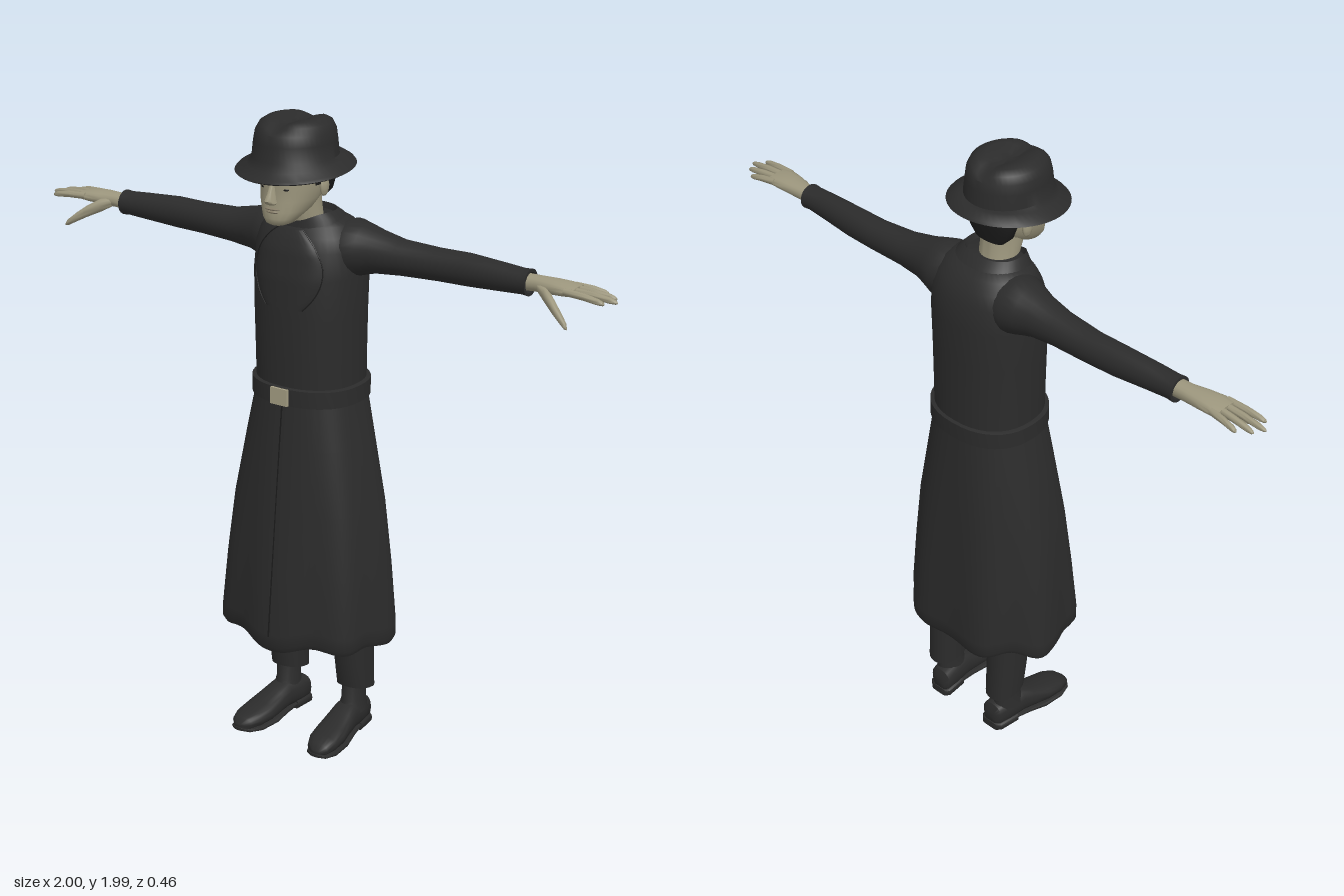
import * as THREE from 'three';
import { toCreasedNormals } from 'three/addons/utils/BufferGeometryUtils.js';
import { ParametricGeometry } from 'three/addons/geometries/ParametricGeometry.js';

const mat = (name, color, side = THREE.FrontSide) => {
  const m = new THREE.MeshStandardMaterial({ color, side });
  m.name = name;
  return m;
};

// Superellipse point: [a, b] on the unit curve of exponent n
const curve = (t, n) => [Math.cos(t), Math.sin(t)].map((c) => Math.sign(c) * Math.abs(c) ** (2 / n));

// Skin a list of point rings; caps are optional
function skin(rings, capStart = true, capEnd = true) {
  const n = rings[0].length, pos = [], idx = [];
  rings.forEach((r) => r.forEach((p) => pos.push(...p)));
  for (let i = 0; i < rings.length - 1; i++) {
    for (let j = 0; j < n; j++) {
      const a = i * n + j, b = i * n + (j + 1) % n;
      idx.push(a, b, a + n, b, b + n, a + n);
    }
  }
  const cap = (i, flip) => {
    const c = pos.length / 3;
    pos.push(...[0, 1, 2].map((k) => rings[i].reduce((s, p) => s + p[k], 0) / n));
    for (let j = 0; j < n; j++) {
      const a = i * n + j, b = i * n + (j + 1) % n;
      idx.push(...(flip ? [c, b, a] : [c, a, b]));
    }
  };
  if (capStart) cap(0, true);
  if (capEnd) cap(rings.length - 1, false);
  const g = new THREE.BufferGeometry();
  g.setAttribute('position', new THREE.Float32BufferAttribute(pos, 3));
  g.setIndex(idx);
  g.computeVertexNormals();
  return g;
}

// Ring with rows [y, rx, zFront, zBack], optional per-point warp(p, angle, row)
const ringY = (row, n = 2.3, seg = 40, cx = 0, warp = null) => Array.from({ length: seg }, (_, j) => {
  const t = j / seg * Math.PI * 2, [a, b] = curve(t, n), [y, rx, zf, zb] = row;
  const p = [cx + b * rx, y, (zf + zb) / 2 + a * (zf - zb) / 2];
  if (warp) warp(p, t, row);
  return p;
});
const loftY = (rows, o = {}) =>
  skin(rows.map((r) => ringY(r, o.n, o.seg, o.cx, o.warp)), o.capStart ?? true, o.capEnd ?? true);

// Rows [x, cy, cz, ry, rz] stacked along x
const loftX = (rows, seg = 16, n = 2, caps = true) => skin(rows.map(([x, cy, cz, ry, rz]) =>
  Array.from({ length: seg }, (_, j) => {
    const [a, b] = curve(j / seg * Math.PI * 2, n);
    return [x, cy + a * ry, cz + b * rz];
  })), caps, caps);

// Rows [z, cx, yBottom, yTop, rx] stacked along z
const loftZ = (rows, seg = 20, n = 2.6) => skin(rows.map(([z, cx, y0, y1, rx]) =>
  Array.from({ length: seg }, (_, j) => {
    const [a, b] = curve(j / seg * Math.PI * 2, n);
    return [cx + a * rx, (y0 + y1) / 2 + b * (y1 - y0) / 2, z];
  })));

function mirrored(g) {
  const m = g.clone().scale(-1, 1, 1), i = m.index.array;
  for (let k = 0; k < i.length; k += 3) [i[k], i[k + 1]] = [i[k + 1], i[k]];
  return m;
}

const TORSO = [
  [1.13, 0.163, 0.12, -0.177], [1.25, 0.165, 0.12, -0.175], [1.4, 0.168, 0.122, -0.175],
  [1.52, 0.172, 0.118, -0.175], [1.6, 0.168, 0.105, -0.168], [1.64, 0.155, 0.09, -0.15],
  [1.67, 0.135, 0.072, -0.125], [1.69, 0.1, 0.05, -0.095],
];
// Height of the coat front at (x, y)
function chestZ(x, y) {
  const i = Math.max(1, TORSO.findIndex((r) => r[0] >= y));
  const [p, q] = [TORSO[i - 1], TORSO[i]], k = (y - p[0]) / (q[0] - p[0]);
  const [, rx, zf, zb] = p.map((v, m) => v + (q[m] - v) * k);
  const f = Math.max(0, 1 - Math.abs(x / rx) ** 2.3) ** (1 / 2.3);
  return (zf + zb) / 2 + f * (zf - zb) / 2;
}

export function createModel() {
  const model = new THREE.Group();
  const coat = mat('coat charcoal', 0x2b2b2b, THREE.DoubleSide);
  const dark = mat('seam and hair black', 0x1b1b1b);
  const flesh = mat('skin', 0x9c967d);
  const lip = mat('lips', 0x857c68);
  const metal = mat('buckle', 0xa59e84);
  const add = (name, geo, m) => {
    const mesh = new THREE.Mesh(toCreasedNormals(geo, 0.9), m);
    mesh.name = name;
    model.add(mesh);
  };
  const pair = (name, geo, m) => {
    add(name + 'Left', geo, m);
    add(name + 'Right', mirrored(geo), m);
  };
  const ball = (x, y, z, rx, ry, rz) => new THREE.SphereGeometry(1, 16, 12).scale(rx, ry, rz).translate(x, y, z);

  // Coat: body, folded skirt, front seam
  add('coatBody', loftY(TORSO), coat);
  const folds = (p, t, [y]) => {
    const k = Math.min(1, (1.13 - y) / 0.72), f = 1 - 0.035 * k * (1 - Math.cos(7 * t));
    p[0] *= f;
    p[2] = -0.02 + (p[2] + 0.02) * f;
    if (y < 0.45) p[1] += 0.018 * Math.sin(3.5 * t) ** 2 - 0.008 * Math.cos(4 * t);
  };
  add('coatSkirt', loftY([
    [1.15, 0.165, 0.122, -0.178], [1.0, 0.198, 0.139, -0.19], [0.8, 0.24, 0.161, -0.207],
    [0.6, 0.266, 0.181, -0.222], [0.41, 0.283, 0.2, -0.238], [0.37, 0.284, 0.2, -0.238],
    [0.352, 0.274, 0.19, -0.228], [0.362, 0.262, 0.178, -0.216],
  ], { seg: 84, warp: folds, capStart: false, capEnd: false }).scale(1, 1, 1), coat);
  // the skirt is stacked downwards, so its faces are turned outward here
  const skirt = model.children.at(-1);
  skirt.geometry = toCreasedNormals(mirrored(Object.assign(skirt.geometry, {
    index: new THREE.BufferAttribute(Uint32Array.from({ length: skirt.geometry.attributes.position.count }, (_, i) => i), 1),
  })).scale(-1, 1, 1), 0.9);
  add('frontSeam', new THREE.BoxGeometry(0.004, 0.74, 0.004).rotateX(-0.104).translate(0, 0.765, 0.163), dark);

  // Lapels: raised panels with a thin stitched edge
  const lapelX = (v) => 0.118 * Math.sin(Math.PI * (0.12 + 0.82 * v)) ** 0.6;
  const lapelY = (v) => 1.43 + 0.23 * v;
  add('lapels', new ParametricGeometry((u, v, p) => {
    const s = 2 * u - 1, x = lapelX(v) * s, y = lapelY(v);
    p.set(x, y, chestZ(x, y) + 0.006 * (1 - s ** 8));
  }, 24, 16), coat);
  const edge = Array.from({ length: 13 }, (_, i) => {
    const v = i / 12, x = lapelX(v), y = lapelY(v);
    return new THREE.Vector3(x, y, chestZ(x, y) + 0.001);
  });
  pair('lapelEdge', new THREE.TubeGeometry(new THREE.CatmullRomCurve3(edge), 30, 0.002, 5), dark);

  // Collar, lower at the throat
  add('collar', loftY([[1.65, 0.13, 0.085, -0.13], [1.69, 0.108, 0.075, -0.1], [1.708, 0.092, 0.072, -0.075],
    [1.68, 0.082, 0.064, -0.066]], {
    capStart: false, capEnd: false,
    warp: (p, t) => { p[1] -= 0.025 * Math.max(0, Math.cos(t)) ** 4; },
  }), coat);

  // Belt and buckle
  add('belt', loftY([[1.13, 0.16, 0.115, -0.172], [1.132, 0.177, 0.13, -0.186], [1.184, 0.177, 0.13, -0.186],
    [1.188, 0.16, 0.115, -0.172]]), coat);
  add('buckle', new THREE.BoxGeometry(0.06, 0.052, 0.012).translate(-0.004, 1.158, 0.131), metal);

  // Sleeves
  pair('sleeve', loftX([
    [0.1, 1.59, -0.045, 0.085, 0.09], [0.14, 1.595, -0.048, 0.088, 0.092], [0.18, 1.597, -0.05, 0.076, 0.078],
    [0.22, 1.597, -0.052, 0.065, 0.064], [0.3, 1.592, -0.054, 0.053, 0.053], [0.42, 1.591, -0.06, 0.048, 0.046],
    [0.52, 1.593, -0.06, 0.048, 0.043], [0.64, 1.594, -0.054, 0.041, 0.039], [0.7, 1.594, -0.052, 0.037, 0.037],
    [0.722, 1.594, -0.052, 0.039, 0.039], [0.722, 1.594, -0.052, 0.03, 0.03], [0.69, 1.594, -0.052, 0.03, 0.03],
  ], 24, 2, false), coat);

  // Hands: palm, four fingers, thumb
  pair('palm', loftX([
    [0.68, 1.595, -0.05, 0.024, 0.027], [0.75, 1.597, -0.05, 0.022, 0.029], [0.8, 1.599, -0.047, 0.021, 0.038],
    [0.84, 1.6, -0.045, 0.018, 0.043], [0.875, 1.599, -0.045, 0.013, 0.043],
  ], 16, 2.4), flesh);
  [[-0.079, -0.092, 0.945], [-0.057, -0.066, 0.982], [-0.033, -0.036, 1.0], [-0.01, -0.004, 0.976]].forEach(([z0, z1, tip], i) => {
    const at = (k, r) => [0.85 + (tip - 0.85) * k, 1.602 - 0.012 * k * k, z0 + (z1 - z0) * k, r, r * 0.95];
    pair('finger' + (i + 1), loftX([at(0, 0.011), at(0.5, 0.0105), at(0.85, 0.009), at(0.96, 0.006), at(1, 0.002)], 10), flesh);
  });
  pair('thumb', loftX([
    [0.755, 1.595, -0.035, 0.014, 0.014], [0.79, 1.582, -0.015, 0.021, 0.018], [0.83, 1.56, 0.012, 0.018, 0.016],
    [0.86, 1.54, 0.028, 0.014, 0.013], [0.882, 1.524, 0.039, 0.01, 0.009], [0.89, 1.517, 0.043, 0.003, 0.003],
  ], 12), flesh);

  // Neck and head
  add('neck', loftY([[1.62, 0.062, 0.06, -0.06], [1.69, 0.058, 0.075, -0.045], [1.74, 0.058, 0.1, -0.04],
    [1.79, 0.06, 0.1, -0.04]], { n: 2 }), flesh);
  add('head', loftY([
    [1.688, 0.022, 0.16, 0.11], [1.694, 0.038, 0.17, 0.09], [1.71, 0.052, 0.175, 0.06], [1.73, 0.066, 0.171, 0.02],
    [1.76, 0.078, 0.17, -0.02], [1.79, 0.084, 0.166, -0.04], [1.815, 0.087, 0.17, -0.046], [1.88, 0.088, 0.16, -0.05],
  ]), flesh);
  add('nose', loftY([[1.751, 0.01, 0.18, 0.15], [1.757, 0.018, 0.193, 0.15], [1.766, 0.015, 0.2, 0.15],
    [1.79, 0.009, 0.186, 0.15], [1.815, 0.008, 0.173, 0.15]], { n: 2, seg: 14 }), flesh);
  add('upperLip', ball(0, 1.738, 0.168, 0.026, 0.004, 0.009), lip);
  add('lowerLip', ball(0, 1.73, 0.167, 0.022, 0.005, 0.009), lip);
  pair('eye', ball(0.034, 1.797, 0.153, 0.014, 0.006, 0.008), dark);
  pair('eyebrow', ball(0.036, 1.816, 0.159, 0.02, 0.004, 0.006), dark);
  pair('ear', ball(0.088, 1.792, 0.035, 0.01, 0.031, 0.02), flesh);

  // Hair behind the ears and sideburns
  add('hair', loftY([[1.745, 0.052, 0.0, -0.044], [1.77, 0.077, 0.014, -0.049], [1.81, 0.09, 0.024, -0.055],
    [1.88, 0.093, 0.06, -0.06]]), dark);
  pair('sideburn', new THREE.BoxGeometry(0.008, 0.06, 0.022).rotateY(-0.12).translate(0.085, 1.83, 0.065), dark);

  // Hat: brim and creased crown in one skin, rows [y, rx, zFront, zBack]
  const hatShape = (p, t, [y, rx]) => {
    if (rx > 0.13) p[1] -= 0.014 * Math.cos(t);
    if (y > 1.97) p[1] -= 0.016 * Math.exp(-((p[0] / 0.032) ** 2));
  };
  add('hat', loftY([
    [1.86, 0.09, 0.16, -0.06], [1.838, 0.165, 0.228, -0.122], [1.842, 0.172, 0.234, -0.13], [1.849, 0.166, 0.228, -0.124],
    [1.864, 0.135, 0.202, -0.1], [1.876, 0.121, 0.189, -0.084], [1.92, 0.117, 0.183, -0.078], [1.95, 0.113, 0.175, -0.073],
    [1.972, 0.102, 0.16, -0.062], [1.984, 0.083, 0.138, -0.04], [1.988, 0.06, 0.11, -0.012], [1.982, 0.03, 0.08, 0.02],
  ], { n: 2, seg: 48, warp: hatShape }), coat);

  // Trousers, ankles, shoes
  pair('trouserLeg', loftY([
    [0.15, 0.053, -0.03, -0.157], [0.25, 0.055, -0.016, -0.152], [0.4, 0.058, -0.002, -0.145], [0.75, 0.068, 0.03, -0.13],
  ], { cx: 0.126, seg: 24, capStart: false, warp: (p, t, [y]) => { if (y < 0.2) p[1] += 0.016 * Math.cos(t); } }), coat);
  pair('ankle', loftY([[0.07, 0.042, -0.015, -0.135], [0.11, 0.035, -0.035, -0.13], [0.22, 0.034, -0.045, -0.125]],
    { cx: 0.126, seg: 20, n: 2 }), coat);
  const foot = (z, y0, y1, rx) => [z, 0.13 + 0.1 * z, y0, y1, rx];
  pair('shoe', loftZ([
    foot(-0.15, 0.02, 0.07, 0.025), foot(-0.14, 0.012, 0.092, 0.038), foot(-0.1, 0.012, 0.1, 0.042), foot(-0.04, 0.015, 0.105, 0.043),
    foot(0.0, 0.014, 0.09, 0.047), foot(0.06, 0.01, 0.07, 0.053), foot(0.11, 0.01, 0.06, 0.05), foot(0.145, 0.012, 0.048, 0.037),
    foot(0.163, 0.015, 0.032, 0.015),
  ]), coat);
  pair('heel', loftZ([foot(-0.152, 0, 0.025, 0.03), foot(-0.14, 0, 0.03, 0.042), foot(-0.07, 0, 0.03, 0.043)], 20, 5), coat);
  pair('sole', loftZ([foot(-0.08, 0.012, 0.025, 0.04), foot(-0.02, 0.008, 0.022, 0.046), foot(0.04, 0, 0.016, 0.054),
    foot(0.11, 0, 0.015, 0.052), foot(0.15, 0.005, 0.018, 0.037), foot(0.168, 0.012, 0.022, 0.014)], 20, 4), coat);
  return model;
}
